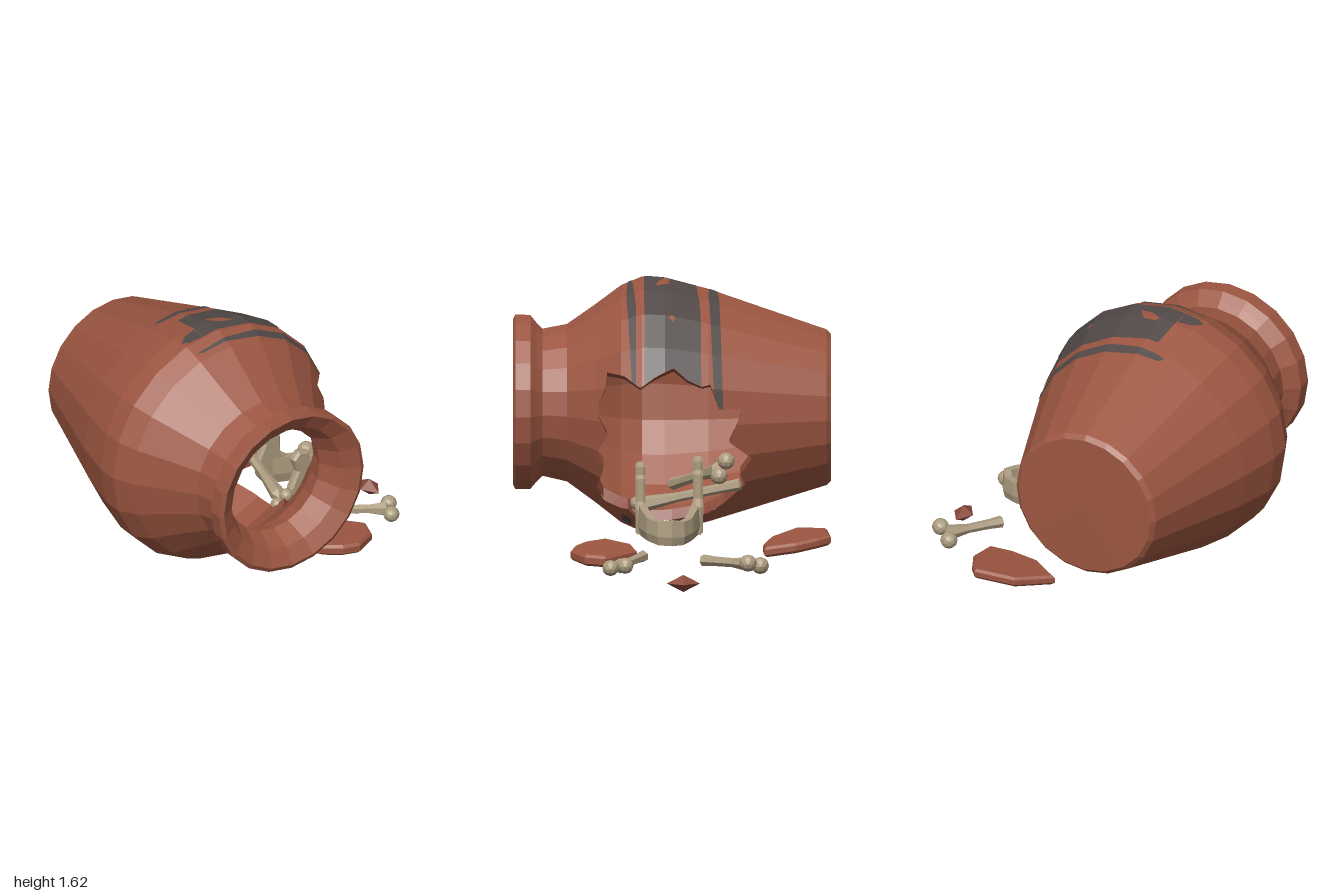
import * as THREE from 'three';

const mat = (name, color, side = THREE.FrontSide) => Object.assign(new THREE.MeshStandardMaterial({ color, side }), { name });
const clay = mat('terracotta', 0x9c5641);
const broken = mat('brokenClay', 0x8a4838, THREE.DoubleSide);
const paint = mat('greyPaint', 0x514a48);
const ivory = mat('bone', 0xab9b7f);
const V = (x, y, z) => new THREE.Vector3(x, y, z);
const rad = THREE.MathUtils.degToRad;

// Flat-shaded mesh
function part(name, geo, material) {
  const g = geo.index ? geo.toNonIndexed() : geo;
  g.computeVertexNormals();
  const m = new THREE.Mesh(g, material);
  m.name = name;
  return m;
}
function triangles(points) {
  return new THREE.BufferGeometry().setFromPoints(points);
}

// Jar profiles as [z, radius], the axis lies along z
const SIDES = 20, STEP = Math.PI * 2 / SIDES, CX = -0.28;
const outer = [[-0.911, 0], [-0.91, 0.425], [-0.885, 0.45], [-0.21, 0.672], [0.04, 0.733], [0.17, 0.737],
  [0.29, 0.685], [0.44, 0.57], [0.6, 0.455], [0.74, 0.425], [0.775, 0.46], [0.81, 0.503], [0.895, 0.505], [0.908, 0.48]];
const inner = [[-0.831, 0], [-0.83, 0.38], [-0.21, 0.605], [0.04, 0.665], [0.17, 0.665], [0.29, 0.61], [0.44, 0.49],
  [0.6, 0.36], [0.72, 0.32], [0.85, 0.385], [0.908, 0.48]];
const axisY = z => 0.872 + 0.018 * z;

function radius(prof, z) {
  let i = 1;
  while (i < prof.length - 1 && z > prof[i][0]) i++;
  const [a, b] = [prof[i - 1], prof[i]];
  return a[1] + (b[1] - a[1]) * (z - a[0]) / (b[0] - a[0]);
}
// Point on the faceted wall at angle u and depth z
function wallPoint(prof, u, z, off = 0) {
  const k = Math.floor(u / STEP + 1e-6), t = u / STEP - k, r = radius(prof, z) + off;
  const mix = f => f(k * STEP) * (1 - t) + f((k + 1) * STEP) * t;
  return V(CX + r * mix(Math.cos), axisY(z) + r * mix(Math.sin), z);
}

// Jagged hole outline as [z, y], turned into [angle, z]
const holeZY = [[0.42, 0.98], [0.38, 1.07], [0.37, 1.16], [0.27, 1.15], [0.18, 1.09], [0.1, 1.15], [-0.01, 1.2],
  [-0.09, 1.13], [-0.17, 1.09], [-0.22, 1.1], [-0.27, 0.96], [-0.4, 0.95], [-0.38, 0.87], [-0.33, 0.76], [-0.46, 0.66],
  [-0.39, 0.55], [-0.42, 0.49], [-0.3, 0.37], [-0.18, 0.29], [0, 0.27], [0.19, 0.27], [0.25, 0.34], [0.39, 0.38],
  [0.43, 0.47], [0.39, 0.6], [0.44, 0.68], [0.37, 0.8], [0.42, 0.9]];
const hole = holeZY.map(([z, y]) => [Math.asin((y - axisY(z)) / radius(outer, z)), z]).reverse();
const holeCentre = [-0.2, 0];

// Keep the part of a convex polygon left of the line a-b
function clip(poly, a, b) {
  const side = p => (b[0] - a[0]) * (p[1] - a[1]) - (b[1] - a[1]) * (p[0] - a[0]);
  const out = [];
  poly.forEach((p, i) => {
    const q = poly[(i + 1) % poly.length], sp = side(p), sq = side(q);
    if (sp >= 0) out.push(p);
    if ((sp > 0 && sq < 0) || (sp < 0 && sq > 0)) {
      const t = sp / (sp - sq);
      out.push([p[0] + (q[0] - p[0]) * t, p[1] + (q[1] - p[1]) * t]);
    }
  });
  return out;
}
// Remove the star-shaped hole wedge by wedge
function cutHole(poly) {
  const far = poly.every(p => Math.abs(p[1]) > 0.5) || poly.every(p => p[0] > 0.9) || poly.every(p => p[0] < -1.4);
  if (far) return [poly];
  return hole.map((p, i) => {
    const q = hole[(i + 1) % hole.length];
    return clip(clip(clip(poly, holeCentre, p), q, holeCentre), q, p);
  }).filter(c => c.length > 2);
}
// Wall surface, optionally limited to one convex region
function wall(prof, flip, region, off = 0) {
  const pts = [];
  for (let i = 0; i < prof.length - 1; i++) for (let k = -SIDES / 2; k < SIDES / 2; k++) {
    const [u0, u1, z0, z1] = [k * STEP, (k + 1) * STEP, prof[i][0], prof[i + 1][0]];
    let cell = [[u0, z0], [u1, z0], [u1, z1], [u0, z1]];
    if (region) region.forEach((a, j) => { cell = clip(cell, a, region[(j + 1) % region.length]); });
    if (cell.length < 3) continue;
    for (const c of cutHole(cell)) {
      const p = c.map(([u, z]) => {
        // stay inside the cell so shared edges use the right facet
        return wallPoint(prof, u, z, off);
      });
      for (let j = 1; j < p.length - 1; j++) pts.push(p[0], ...(flip ? [p[j + 1], p[j]] : [p[j], p[j + 1]]));
    }
  }
  return triangles(pts);
}

function makeJar() {
  const jar = new THREE.Group();
  jar.name = 'jar';
  jar.add(part('jarOuterWall', wall(outer, false), clay), part('jarInnerWall', wall(inner, true), clay));
  // Broken rim of the hole
  const pts = [];
  hole.forEach((p, i) => {
    const q = hole[(i + 1) % hole.length];
    const at = (prof, t) => wallPoint(prof, p[0] + (q[0] - p[0]) * t, p[1] + (q[1] - p[1]) * t);
    for (let s = 0; s < 3; s++) {
      const a = at(outer, s / 3), b = at(outer, (s + 1) / 3), c = at(inner, (s + 1) / 3), d = at(inner, s / 3);
      pts.push(a, b, c, a, c, d);
    }
  });
  jar.add(part('holeEdge', triangles(pts), broken));
  // Painted bands as [degrees, z] regions
  const bands = {
    frontStripe: [[5, 0.165], [60, 0.205], [105, 0.205], [108, 0.23], [104, 0.25], [70, 0.26], [5, 0.22]],
    wideBand: [[5, -0.17], [60, -0.165], [96, -0.135], [98, 0.16], [5, 0.155]],
    wideBandEnd: [[97.8, 0.06], [104, 0.08], [108, 0.125], [105, 0.155], [98, 0.16]],
    backStripe: [[5, -0.295], [80, -0.27], [102, -0.255], [104, -0.23], [100, -0.215], [80, -0.21], [5, -0.245]],
    lowerMark: [[-68, 0.235], [-58, 0.235], [-56, 0.285], [-66, 0.285]],
  };
  const scratches = {
    scratch: [[82, 0.02], [88, 0.01], [90, 0.03], [84, 0.08], [78, 0.09]],
    chip: [[51, -0.005], [53, -0.02], [55, 0], [53, 0.02]],
  };
  const toRad = r => r.map(([d, z]) => [rad(d), z]);
  for (const [name, r] of Object.entries(bands)) {
    jar.add(part(name, wall(outer, false, toRad(r), 0.004), paint));
    if (name !== 'lowerMark') jar.add(part(name + 'Inside', wall(inner, true, toRad(r), -0.004), paint));
  }
  for (const [name, r] of Object.entries(scratches)) jar.add(part(name, wall(outer, false, toRad(r), 0.007), clay));
  return jar;
}

// Broken slab from an [x, z] outline, laid on a height rule
function shard(name, outline, thick, height) {
  const shape = new THREE.Shape(outline.map(([x, z]) => new THREE.Vector2(x, -z)));
  const b = 0.015;
  const geo = new THREE.ExtrudeGeometry(shape, { depth: thick - 2 * b, bevelSize: b, bevelThickness: b, bevelOffset: -b, bevelSegments: 1 });
  geo.rotateX(-Math.PI / 2).translate(0, b, 0);
  const p = geo.attributes.position;
  for (let i = 0; i < p.count; i++) p.setY(i, p.getY(i) + height(p.getX(i), p.getZ(i)));
  return part(name, geo, clay);
}

// Long bone: flared six-sided shaft with a two-lobed head at "head"
function longBone(name, tail, head, r, lobe, spread) {
  const g = new THREE.Group();
  g.name = name;
  const dir = head.clone().sub(tail), len = dir.length();
  const profile = [[0, 0], [r * 1.15, 0.01], [r * 0.95, len * 0.25], [r * 0.9, len * 0.6], [r * 1.5, len * 0.92], [0, len]];
  const shaft = part(name + 'Shaft', new THREE.LatheGeometry(profile.map(([a, b]) => new THREE.Vector2(a, b)), 6), ivory);
  shaft.position.copy(tail);
  shaft.quaternion.setFromUnitVectors(V(0, 1, 0), dir.normalize());
  g.add(shaft);
  for (const s of [-1, 1]) {
    const knob = part(name + 'Knob', new THREE.IcosahedronGeometry(lobe, 1), ivory);
    knob.position.copy(head).addScaledVector(spread, s);
    g.add(knob);
  }
  return g;
}

function makeJaw() {
  const jaw = new THREE.Group();
  jaw.name = 'jawbone';
  // U-shaped body: [x, z, bottom, top, normal x, normal z]
  const rows = [[0.3, 0.175, 0.26, 0.42, 0, 1], [0.45, 0.16, 0.24, 0.4, 0.1, 1], [0.59, 0.12, 0.235, 0.365, 0.4, 0.9],
    [0.665, 0.065, 0.225, 0.36, 0.8, 0.6], [0.69, 0.0, 0.225, 0.37, 1, 0], [0.655, -0.055, 0.225, 0.36, 0.8, -0.6],
    [0.58, -0.095, 0.235, 0.365, 0.4, -0.9], [0.45, -0.125, 0.24, 0.4, 0.1, -1], [0.3, -0.145, 0.26, 0.42, 0, -1]];
  const rings = rows.map(([x, z, lo, hi, nx, nz]) => [[-0.6, lo], [0.6, lo], [1, lo + 0.05], [0.7, hi], [-0.7, hi], [-1, lo + 0.06]]
    .map(([s, y]) => V(x + nx * s * 0.032, y, z + nz * s * 0.032)));
  const pts = [];
  for (let i = 0; i < rings.length - 1; i++) for (let j = 0; j < 6; j++) {
    const k = (j + 1) % 6, [a, b, c, d] = [rings[i][j], rings[i][k], rings[i + 1][k], rings[i + 1][j]];
    pts.push(a, c, b, a, d, c);
  }
  for (let j = 1; j < 5; j++) {
    pts.push(rings[0][0], rings[0][j], rings[0][j + 1]);
    pts.push(rings[8][0], rings[8][j + 1], rings[8][j]);
  }
  jaw.add(part('jawBody', triangles(pts), ivory));
  // Rising branches at both ends
  const outline = [[0.2, 0.42], [0.21, 0.33], [0.27, 0.25], [0.42, 0.24], [0.42, 0.4], [0.365, 0.44], [0.36, 0.58],
    [0.33, 0.6], [0.33, 0.65], [0.26, 0.67], [0.22, 0.62], [0.25, 0.53]];
  for (const [name, z, lift] of [['frontBranch', 0.18, 0.92], ['rearBranch', -0.15, 1]]) {
    const shape = new THREE.Shape(outline.map(([x, y]) => new THREE.Vector2(x, 0.25 + (y - 0.25) * lift)));
    const geo = new THREE.ExtrudeGeometry(shape, { depth: 0.03, bevelSize: 0.012, bevelThickness: 0.014, bevelOffset: -0.012, bevelSegments: 1 });
    jaw.add(part(name, geo.translate(0, 0, z - 0.015), ivory));
  }
  return jaw;
}

export function createModel() {
  const model = new THREE.Group();
  model.name = 'brokenJarWithBones';
  model.add(makeJar(), makeJaw());
  // Loose shards
  model.add(shard('backShard', [[0.18, -0.89], [0.43, -0.91], [0.48, -0.84], [0.54, -0.71], [0.53, -0.53], [0.38, -0.52],
    [0.2, -0.56], [0.01, -0.72]], 0.06, (x, z) => 0.125 + (-0.53 - z) * 0.15));
  model.add(shard('frontShard', [[0.42, 0.2], [0.6, 0.38], [0.56, 0.5], [0.42, 0.58], [0.32, 0.56], [0.22, 0.5],
    [0.14, 0.38], [0.28, 0.23]], 0.065, x => 0.08 + (0.6 - x) * 0.06));
  const chip = part('smallShard', new THREE.OctahedronGeometry(1), broken);
  chip.scale.set(0.06, 0.05, 0.095);
  chip.position.set(0.938, 0.05, -0.065);
  model.add(chip);
  // Loose long bones
  model.add(longBone('backBone', V(0.63, 0.13, -0.17), V(0.85, 0.145, -0.47), 0.03, 0.05, V(0.045, 0.015, 0.035)));
  model.add(longBone('frontBone', V(0.54, 0.14, 0.16), V(0.82, 0.125, 0.31), 0.03, 0.047, V(0.02, 0.01, -0.042)));
  model.add(longBone('upperBone', V(-0.22, 0.42, 0.0), V(0.22, 0.59, -0.29), 0.032, 0.05, V(0.01, 0.045, -0.02)));
  model.add(longBone('lowerBone', V(0.22, 0.5, -0.4), V(0.14, 0.36, 0.2), 0.03, 0.04, V(0.03, 0.02, 0)));
  return model;
}
